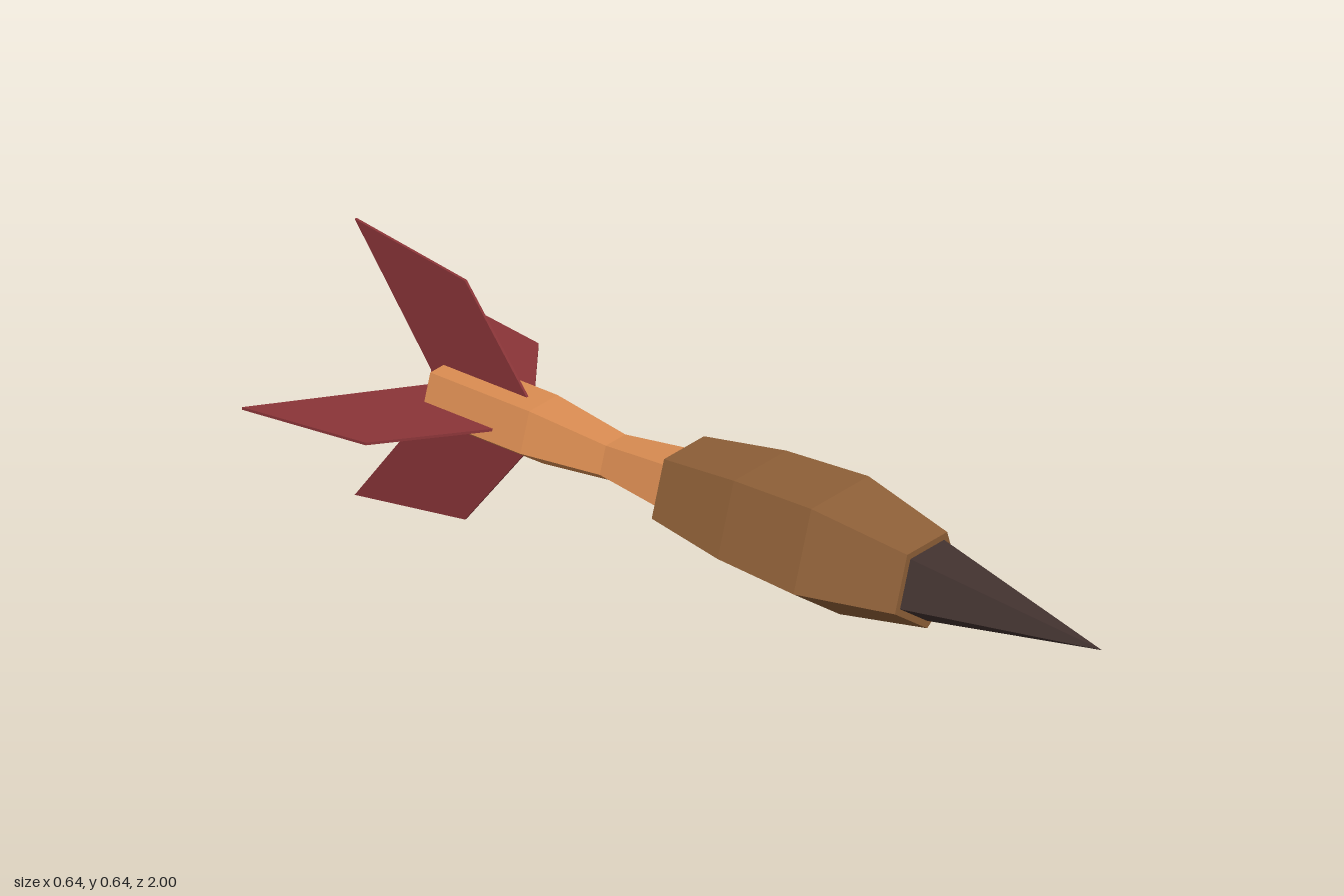
import * as THREE from 'three';

const AXIS_Y = 0.32;

function mat(name, color) {
  const m = new THREE.MeshStandardMaterial({ color, flatShading: true });
  m.name = name;
  return m;
}

// Five-sided turned part along z, one corner pointing down; profile = [radius, z] from back to front
function turned(name, profile, material) {
  const points = profile.map(([r, z]) => new THREE.Vector2(r, z));
  const mesh = new THREE.Mesh(new THREE.LatheGeometry(points, 5).rotateX(Math.PI / 2), material);
  mesh.name = name;
  mesh.position.y = AXIS_Y;
  return mesh;
}

// Thin swept fin pointing out along +x, then turned around the dart's axis
function fin(name, angle, shift, material) {
  const outline = [[0, -0.5], [0.275, -0.71], [0.318, -1.0], [0, -0.77]];
  const shape = new THREE.Shape(outline.map(([r, z]) => new THREE.Vector2(r, z)));
  const thickness = 0.006;
  const geometry = new THREE.ExtrudeGeometry(shape, { depth: thickness, bevelEnabled: false });
  geometry.translate(0, 0, -thickness / 2).rotateX(Math.PI / 2);
  const mesh = new THREE.Mesh(geometry, material);
  mesh.name = name;
  mesh.position.set(0, AXIS_Y, shift);
  mesh.rotation.z = angle;
  return mesh;
}

export function createModel() {
  const darkMetal = mat('darkTip', 0x42322f);
  const brown = mat('brownGrip', 0x8f6038);
  const tan = mat('tanShaft', 0xdb8d52);
  const red = mat('redFins', 0x8b3538);

  const dart = new THREE.Group();
  dart.name = 'dart';

  // Pointed tip
  dart.add(turned('tip', [[0, 0.52], [0.095, 0.52], [0, 1.0]], darkMetal));

  // Bulging grip
  dart.add(turned('grip', [
    [0, -0.1], [0.108, -0.1], [0.142, 0.1], [0.155, 0.31], [0.108, 0.54], [0, 0.54],
  ], brown));

  // Waisted shaft
  dart.add(turned('shaft', [
    [0, -0.73], [0.077, -0.73], [0.077, -0.47], [0.053, -0.28], [0.077, -0.1], [0, -0.1],
  ], tan));

  // Four fins; the upright pair sits slightly further forward
  ['leftFin', 'topFin', 'rightFin', 'bottomFin'].forEach((name, i) => {
    dart.add(fin(name, i * Math.PI / 2, i % 2 ? 0.036 : 0, red));
  });

  return dart;
}
